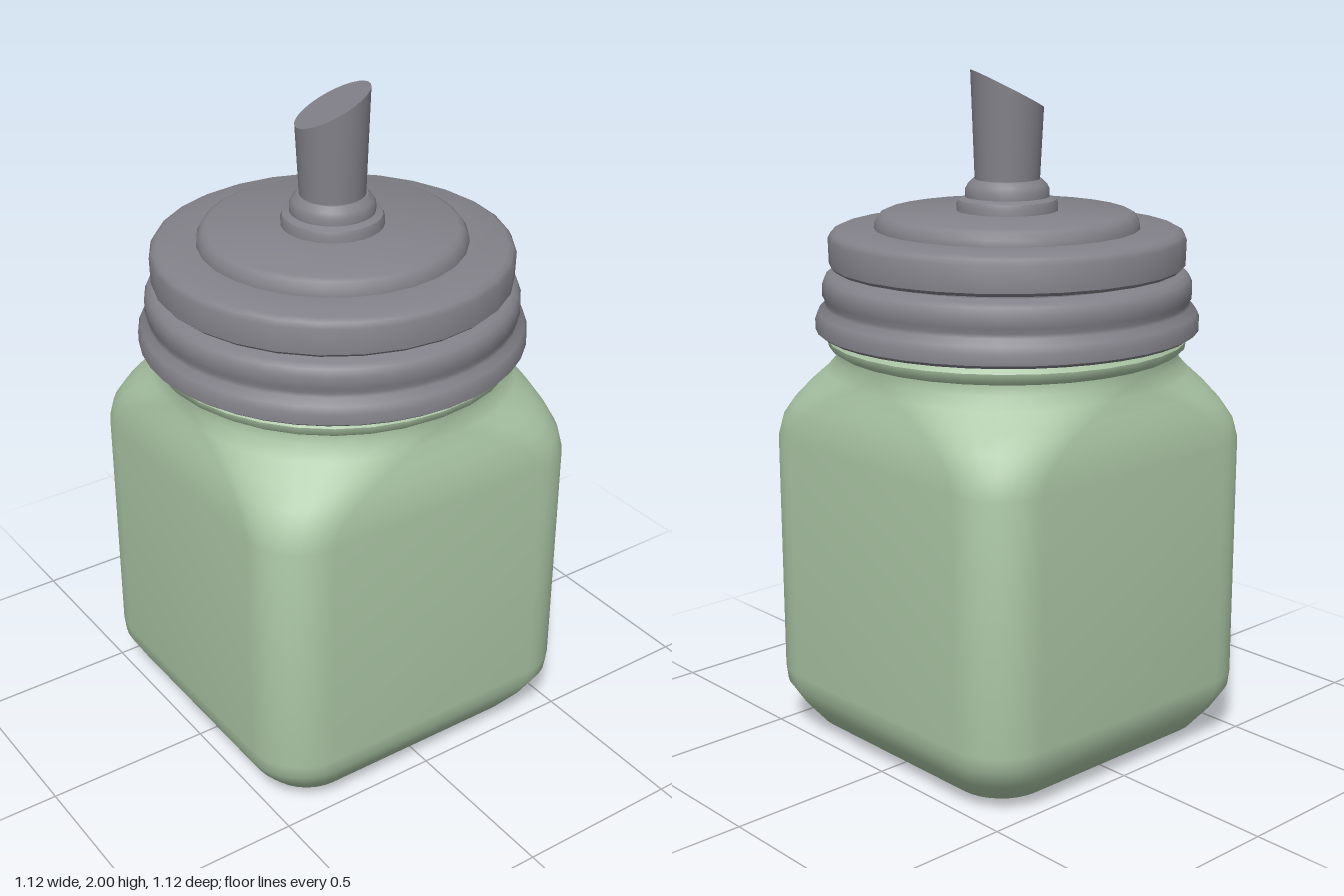
import * as THREE from 'three';
import { toCreasedNormals } from 'three/addons/utils/BufferGeometryUtils.js';

const green = new THREE.MeshStandardMaterial({ name: 'sage glass', color: 0xabc6a5 });
const gray = new THREE.MeshStandardMaterial({ name: 'gray metal', color: 0x83828a });

function addMesh(parent, name, geometry, material) {
  const mesh = new THREE.Mesh(geometry, material);
  mesh.name = name;
  parent.add(mesh);
  return mesh;
}

// Turned part from [radius, y] pairs, bottom to top
function turned(profile, segments) {
  const points = profile.map(([r, y]) => new THREE.Vector2(r, y));
  return toCreasedNormals(new THREE.LatheGeometry(points, segments), 0.75);
}

// Rounded-square sections [y, half width, corner radius] lofted upward
function loftRoundedSquare(sections, steps) {
  const positions = [], indices = [];
  const count = 4 * (steps + 1);
  for (const [y, w, r] of sections) {
    for (let corner = 0; corner < 4; corner++) {
      const middle = (corner + 0.5) * Math.PI / 2;
      const cx = Math.sign(Math.cos(middle)) * (w - r);
      const cz = Math.sign(Math.sin(middle)) * (w - r);
      for (let i = 0; i <= steps; i++) {
        const a = (corner + i / steps) * Math.PI / 2;
        positions.push(cx + r * Math.cos(a), y, cz + r * Math.sin(a));
      }
    }
  }
  for (let s = 0; s < sections.length - 1; s++) {
    for (let i = 0; i < count; i++) {
      const a = s * count + i, b = s * count + (i + 1) % count;
      indices.push(a, a + count, b, b, a + count, b + count);
    }
  }
  // Floor and top caps
  const top = (sections.length - 1) * count;
  for (let i = 1; i < count - 1; i++) {
    indices.push(0, i, i + 1, top, top + i + 1, top + i);
  }
  const geometry = new THREE.BufferGeometry();
  geometry.setAttribute('position', new THREE.Float32BufferAttribute(positions, 3));
  geometry.setIndex(indices);
  return toCreasedNormals(geometry, 0.8);
}

export function createModel() {
  const model = new THREE.Group();
  model.name = 'jar with pouring lid';

  // Square jar whose shoulders blend into a round neck
  addMesh(model, 'jar', loftRoundedSquare([
    [0, 0.34, 0.1], [0.01, 0.39, 0.12], [0.03, 0.445, 0.14], [0.09, 0.492, 0.16],
    [0.155, 0.528, 0.17], [0.2, 0.532, 0.17], [0.93, 0.532, 0.17], [0.99, 0.528, 0.195],
    [1.04, 0.52, 0.25], [1.09, 0.51, 0.33], [1.135, 0.5, 0.42], [1.17, 0.496, 0.48],
    [1.2, 0.498, 0.49], [1.215, 0.52, 0.515], [1.235, 0.524, 0.519], [1.255, 0.51, 0.505],
    [1.28, 0.5, 0.495],
  ], 8), green);

  const lid = new THREE.Group();
  lid.name = 'lid';
  model.add(lid);

  // Screw band with two rolled ridges
  addMesh(lid, 'screwBand', turned([
    [0, 1.255], [0.545, 1.255], [0.559, 1.265], [0.559, 1.295], [0.55, 1.315],
    [0.532, 1.333], [0.53, 1.345], [0.537, 1.36], [0.537, 1.395], [0.528, 1.415],
    [0.512, 1.425], [0, 1.425],
  ], 40), gray);

  addMesh(lid, 'lidGap', new THREE.CylinderGeometry(0.445, 0.445, 0.03, 32).translate(0, 1.432, 0), gray);

  // Upper disc with raised centre
  addMesh(lid, 'lidDisc', turned([
    [0, 1.44], [0.505, 1.44], [0.516, 1.45], [0.518, 1.525], [0.51, 1.54],
    [0.495, 1.548], [0.385, 1.552], [0.383, 1.57], [0.37, 1.59], [0.355, 1.597], [0, 1.603],
  ], 28), gray);

  // Stepped collar at the spout foot
  addMesh(lid, 'spoutCollar', turned([
    [0.147, 1.59], [0.147, 1.62], [0.142, 1.632], [0.122, 1.64], [0.122, 1.662],
    [0.115, 1.675], [0.1, 1.69], [0, 1.69],
  ], 28), gray);

  // Spout with a slanted closed tip
  const spout = new THREE.CylinderGeometry(0.105, 0.092, 0.305, 28, 1).translate(0, 1.7925, 0);
  const p = spout.attributes.position;
  for (let i = 0; i < p.count; i++) {
    if (p.getY(i) > 1.9) p.setY(i, p.getY(i) + 0.45 * p.getX(i) + 0.25 * p.getZ(i));
  }
  addMesh(lid, 'spout', toCreasedNormals(spout, 0.75), gray);

  return model;
}
